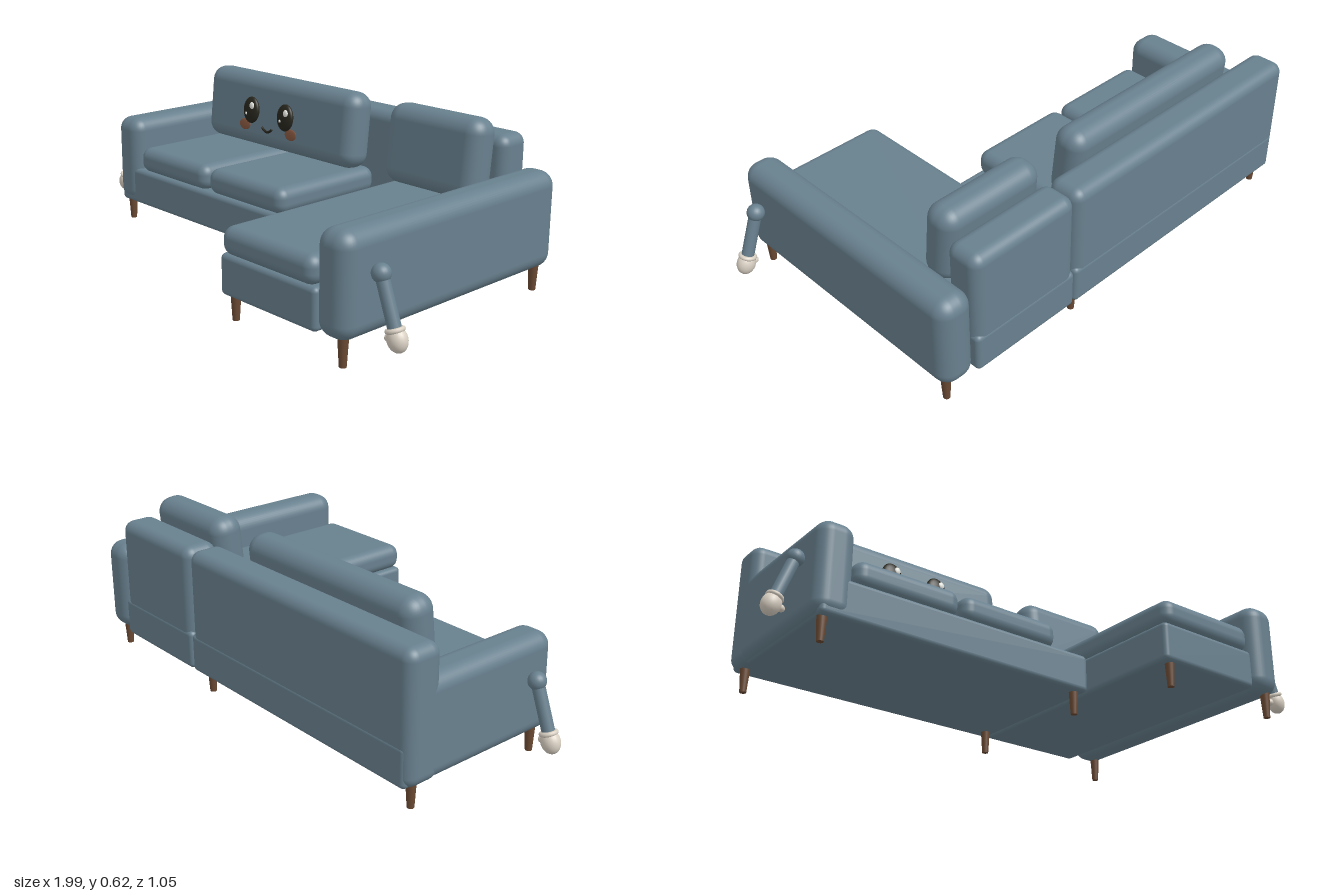
import * as THREE from 'three';
import { RoundedBoxGeometry } from 'three/addons/geometries/RoundedBoxGeometry.js';

const mat = (name, color) => {
  const m = new THREE.MeshStandardMaterial({ color });
  m.name = name;
  return m;
};

export function createModel() {
  const root = new THREE.Group();
  root.name = 'cornerSofa';

  const fabric = mat('blueGreyFabric', 0x68808e);
  const wood = mat('brownWood', 0x6b4a33);
  const glove = mat('creamGlove', 0xd9d0c3);
  const dark = mat('darkEye', 0x26251c);
  const blush = mat('brownBlush', 0x85563f);
  const white = mat('whiteHighlight', 0xf4f4ee);

  const add = (parent, name, geo, material, x = 0, y = 0, z = 0) => {
    const m = new THREE.Mesh(geo, material);
    m.name = name;
    m.position.set(x, y, z);
    parent.add(m);
    return m;
  };
  // Rounded block given by its extents on each axis
  const block = (name, [x0, x1], [y0, y1], [z0, z1], r) =>
    add(root, name, new RoundedBoxGeometry(x1 - x0, y1 - y0, z1 - z0, 5, r), fabric,
      (x0 + x1) / 2, (y0 + y1) / 2, (z0 + z1) / 2);
  const ellipsoid = (parent, name, material, [x, y, z], [rx, ry, rz]) => {
    const m = add(parent, name, new THREE.SphereGeometry(1, 24, 16), material, x, y, z);
    m.scale.set(rx, ry, rz);
    return m;
  };

  // Main sofa frame
  block('sofaBase', [-0.84, 0.273], [0.085, 0.23], [-0.527, 0.106], 0.018);
  block('sofaBack', [-0.86, 0.275], [0.085, 0.545], [-0.525, -0.387], 0.04);
  block('sofaArmrest', [-0.86, -0.722], [0.085, 0.433], [-0.5, 0.112], 0.05);

  // Chaise frame
  block('chaiseBase', [0.275, 0.72], [0.085, 0.23], [-0.527, 0.506], 0.018);
  block('chaiseBack', [0.275, 0.72], [0.085, 0.545], [-0.525, -0.387], 0.04);
  block('chaiseArmrest', [0.72, 0.856], [0.085, 0.433], [-0.525, 0.52], 0.055);

  // Seat cushions
  block('seatCushion', [-0.715, -0.3], [0.225, 0.325], [-0.39, 0.105], 0.04);
  block('seatCushion', [-0.285, 0.13], [0.225, 0.325], [-0.39, 0.105], 0.04);
  block('chaiseCushion', [0.28, 0.71], [0.225, 0.325], [-0.39, 0.511], 0.04);

  // Leaning back cushions
  const tilt = -0.1;
  for (const [x0, x1] of [[-0.712, 0.13], [0.284, 0.704]]) {
    block('backCushion', [x0, x1], [0.325, 0.615], [-0.379, -0.251], 0.056).rotation.x = tilt;
  }

  // Tapered legs
  const legGeo = new THREE.CylinderGeometry(0.018, 0.012, 0.095, 20);
  const legSpots = [[-0.815, 0.07], [0.23, 0.07], [-0.815, -0.47], [0.23, -0.47],
    [0.32, 0.475], [0.81, 0.475], [0.81, -0.47]];
  for (const [x, z] of legSpots) add(root, 'leg', legGeo, wood, x, 0.0475, z);

  // Hanging arms with gloved hands
  for (const [s, z] of [[-1, 0], [1, 0.403]]) {
    const arm = new THREE.Group();
    arm.name = s > 0 ? 'leftArm' : 'rightArm';
    arm.position.set(s * 0.89, 0.303, z);
    arm.rotation.z = s * 0.355;
    root.add(arm);
    add(arm, 'shoulder', new THREE.SphereGeometry(0.031, 24, 16), fabric);
    add(arm, 'armTube', new THREE.CylinderGeometry(0.022, 0.022, 0.17, 20), fabric, 0, -0.085, 0);
    add(arm, 'cuff', new THREE.TorusGeometry(0.024, 0.008, 10, 24), glove, 0, -0.171, 0)
      .rotation.x = Math.PI / 2;
    ellipsoid(arm, 'hand', glove, [0, -0.2, 0], [0.034, 0.041, 0.031]);
    ellipsoid(arm, 'thumb', glove, [-s * 0.032, -0.193, 0], [0.016, 0.013, 0.013]);
  }

  // Face in front of the wide back cushion
  const face = new THREE.Group();
  face.name = 'face';
  face.position.set(-0.293, 0.485, -0.218);
  face.rotation.x = tilt;
  root.add(face);
  for (const s of [-1, 1]) {
    ellipsoid(face, 'eye', dark, [s * 0.098, 0, 0], [0.043, 0.053, 0.018]);
    ellipsoid(face, 'eyeHighlight', white, [s * 0.098 + 0.016, 0.02, 0.015], [0.012, 0.014, 0.006]);
    ellipsoid(face, 'eyeSparkle', white, [s * 0.098 - 0.012, -0.014, 0.016], [0.006, 0.006, 0.004]);
    ellipsoid(face, 'cheek', blush, [s * 0.133, -0.062, -0.002], [0.032, 0.022, 0.004]);
  }
  const smile = new THREE.QuadraticBezierCurve3(
    new THREE.Vector3(-0.026, -0.061, 0), new THREE.Vector3(0, -0.086, 0), new THREE.Vector3(0.026, -0.061, 0));
  add(face, 'mouth', new THREE.TubeGeometry(smile, 16, 0.005, 8), dark);
  for (const s of [-1, 1]) {
    add(face, 'mouthEnd', new THREE.SphereGeometry(0.005, 10, 8), dark, s * 0.026, -0.061, 0);
  }

  return root;
}
